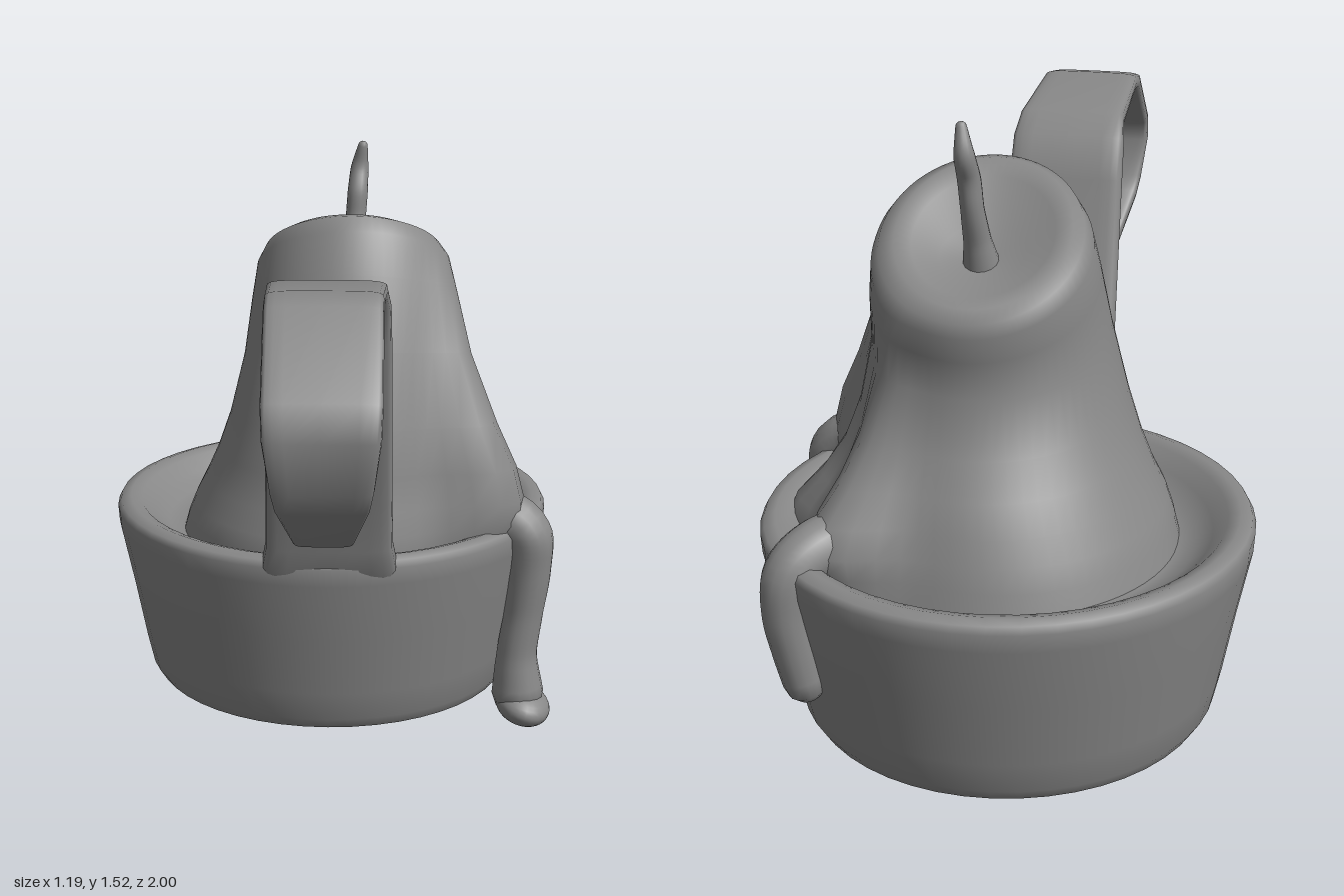
import * as THREE from 'three';

const material = new THREE.MeshStandardMaterial({ color: 0x888888, side: THREE.DoubleSide });

function addMesh(group, name, geometry) {
  const mesh = new THREE.Mesh(geometry, material);
  mesh.name = name;
  group.add(mesh);
  return mesh;
}

// Skin a list of closed rings of points, smooth all over
function loft(rings) {
  const n = rings[0].length, index = [];
  for (let i = 0; i < rings.length - 1; i++) {
    for (let j = 0; j < n; j++) {
      const a = i * n + j, b = i * n + (j + 1) % n;
      index.push(a, a + n, b, b, a + n, b + n);
    }
  }
  const geometry = new THREE.BufferGeometry().setFromPoints(rings.flat());
  geometry.setIndex(index);
  geometry.computeVertexNormals();
  return geometry;
}

// Round tube with a changing radius and domed ends; points are [x, y, z, radius]
function taperedTube(points, steps = 32, sides = 16) {
  const curve = new THREE.CatmullRomCurve3(points.map(p => new THREE.Vector3(p[0], p[1], p[2])));
  const frames = curve.computeFrenetFrames(steps, false);
  const rings = [];
  const ring = (i, scale, push) => {
    const f = i / steps * (points.length - 1), k = Math.min(Math.floor(f), points.length - 2);
    const r = THREE.MathUtils.lerp(points[k][3], points[k + 1][3], f - k);
    const c = curve.getPoint(i / steps).addScaledVector(frames.tangents[i], push * r);
    rings.push(Array.from({ length: sides }, (_, j) => {
      const a = j / sides * Math.PI * 2;
      return c.clone().addScaledVector(frames.normals[i], Math.cos(a) * r * scale)
        .addScaledVector(frames.binormals[i], -Math.sin(a) * r * scale);
    }));
  };
  const dome = [0, 0.5, 0.85];
  dome.forEach(s => ring(0, s, -Math.sqrt(1 - s * s)));
  for (let i = 0; i <= steps; i++) ring(i, 1, 0);
  dome.reverse().forEach(s => ring(steps, s, Math.sqrt(1 - s * s)));
  return loft(rings);
}

// Candle body: leaning ellipses with wax ridges running toward the drips
function candleGeometry() {
  // [y, tilt, centre x, centre z, radius x, radius z, front ridge, side ridge, back ridge]
  const rows = [
    [0.44, 0, 0, -0.37, 0.42, 0.45, 0.08, 0.12, 0.08],
    [0.53, 0, 0.005, -0.36, 0.4, 0.435, 0.13, 0.13, 0.13],
    [0.58, 0, 0.01, -0.35, 0.385, 0.425, 0.16, 0.12, 0.16],
    [0.64, 0, 0.02, -0.35, 0.365, 0.4, 0.175, 0.07, 0.14],
    [0.72, 0.03, 0.03, -0.34, 0.34, 0.375, 0.165, 0.03, 0.09],
    [0.82, 0.1, 0.04, -0.325, 0.315, 0.335, 0.12, 0.01, 0.05],
    [0.98, 0.25, 0.05, -0.325, 0.285, 0.275, 0.06, 0, 0.02],
    [1.12, 0.45, 0.055, -0.37, 0.27, 0.25, 0.025, 0, 0.01],
    [1.2, 0.6, 0.055, -0.4, 0.257, 0.225, 0.01, 0, 0.01],
    [1.235, 0.64, 0.055, -0.41, 0.237, 0.213, 0, 0, 0],
    [1.25, 0.64, 0.05, -0.41, 0.205, 0.19, 0, 0, 0],
    [1.24, 0.62, 0.05, -0.41, 0.165, 0.155, 0, 0, 0],
    [1.2, 0.5, 0.05, -0.42, 0.1, 0.09, 0, 0, 0],
    [1.19, 0.4, 0.05, -0.42, 0, 0, 0, 0, 0],
  ];
  const bump = (a, centre, width) => {
    const d = Math.atan2(Math.sin(a - centre), Math.cos(a - centre)) / width;
    return Math.exp(-d * d);
  };
  return loft(rows.map(([y, tilt, cx, cz, rx, rz, front, side, back]) =>
    Array.from({ length: 64 }, (_, j) => {
      const a = j / 64 * Math.PI * 2;
      const r = front * bump(a, 0.47, 0.27) + side * bump(a, -0.2, 0.3) + back * bump(a, -0.83, 0.25);
      const x = Math.cos(a) * (rx + r), z = Math.sin(a) * (rz + r);
      return new THREE.Vector3(cx + x, y + tilt * z, cz + z);
    })));
}

// Curled strap handle: rounded bar swept along a bent path in the side plane
function handleGeometry() {
  // [z, y, half width, half thickness]
  const path = [
    [0.1, 0.47, 0.16, 0.035], [0.128, 0.555, 0.17, 0.05], [0.148, 0.61, 0.16, 0.04],
    [0.2, 0.75, 0.156, 0.028], [0.33, 1.17, 0.15, 0.026], [0.37, 1.265, 0.147, 0.025],
    [0.42, 1.31, 0.138, 0.025], [0.7, 1.347, 0.128, 0.024], [0.77, 1.335, 0.127, 0.024],
    [0.95, 1.185, 0.125, 0.024], [0.975, 1.12, 0.122, 0.024], [0.945, 1.01, 0.108, 0.023],
    [0.915, 0.965, 0.1, 0.023], [0.79, 0.85, 0.066, 0.02], [0.75, 0.84, 0.062, 0.02],
    [0.6, 0.91, 0.055, 0.02], [0.58, 0.93, 0.053, 0.02], [0.575, 0.97, 0.05, 0.018],
  ];
  const at = i => new THREE.Vector3(0, path[i][1], path[i][0]);
  const across = new THREE.Vector3(1, 0, 0);
  const round = v => Math.sign(v) * Math.abs(v) ** 0.4;
  const section = (i, scale) => {
    const last = path.length - 1;
    const t = at(Math.min(i + 1, last)).sub(at(Math.min(i, last - 1))).normalize();
    if (i > 0 && i < last) t.add(at(i).sub(at(i - 1)).normalize()).normalize();
    const out = across.clone().cross(t);
    return Array.from({ length: 20 }, (_, j) => {
      const a = j / 20 * Math.PI * 2;
      return at(i).addScaledVector(across, round(Math.cos(a)) * path[i][2] * scale)
        .addScaledVector(out, round(Math.sin(a)) * path[i][3] * scale);
    });
  };
  const rings = path.map((_, i) => section(i, 1));
  return loft([section(0, 0), ...rings, section(path.length - 1, 0)]);
}

export function createModel() {
  const group = new THREE.Group();
  group.name = 'candleHolder';

  // Dish: tapered outer wall, soft rim and shallow inner trough
  const profile = [
    [0.488, 0.07], [0.507, 0.1], [0.525, 0.18], [0.555, 0.34], [0.588, 0.5], [0.591, 0.545],
    [0.582, 0.562], [0.555, 0.57], [0.525, 0.56], [0.49, 0.525], [0.45, 0.495], [0.4, 0.48], [0, 0.48],
  ];
  const dish = addMesh(group, 'dish',
    new THREE.LatheGeometry(profile.map(p => new THREE.Vector2(...p)), 48));
  dish.position.set(-0.005, 0, -0.41);
  const base = addMesh(group, 'dishBase', new THREE.CircleGeometry(0.488, 48));
  base.rotation.x = Math.PI / 2;
  base.position.set(-0.005, 0.07, -0.41);

  addMesh(group, 'handle', handleGeometry());
  addMesh(group, 'candle', candleGeometry());

  addMesh(group, 'wick', taperedTube([
    [0.05, 1.17, -0.425, 0.045], [0.055, 1.24, -0.445, 0.032], [0.06, 1.32, -0.468, 0.027],
    [0.065, 1.39, -0.475, 0.027], [0.07, 1.45, -0.497, 0.024], [0.078, 1.51, -0.487, 0.013],
  ]));

  // Wax drips hanging over the rim
  addMesh(group, 'frontDrip', taperedTube([
    [0.37, 0.6, -0.2, 0.07], [0.45, 0.59, -0.14, 0.07], [0.512, 0.55, -0.12, 0.07],
    [0.525, 0.45, -0.12, 0.06], [0.515, 0.32, -0.12, 0.052], [0.5, 0.2, -0.12, 0.054],
    [0.505, 0.09, -0.12, 0.07],
  ]));
  const foot = addMesh(group, 'frontDripFoot', new THREE.SphereGeometry(1, 24, 16));
  foot.scale.set(0.075, 0.05, 0.1);
  foot.rotation.z = -0.25;
  foot.position.set(0.52, 0.052, -0.12);
  addMesh(group, 'backDrip', taperedTube([
    [0.3, 0.58, -0.66, 0.07], [0.365, 0.58, -0.74, 0.07], [0.412, 0.54, -0.795, 0.065],
    [0.42, 0.45, -0.81, 0.06], [0.405, 0.35, -0.808, 0.056], [0.39, 0.27, -0.803, 0.052],
  ]));

  return group;
}
